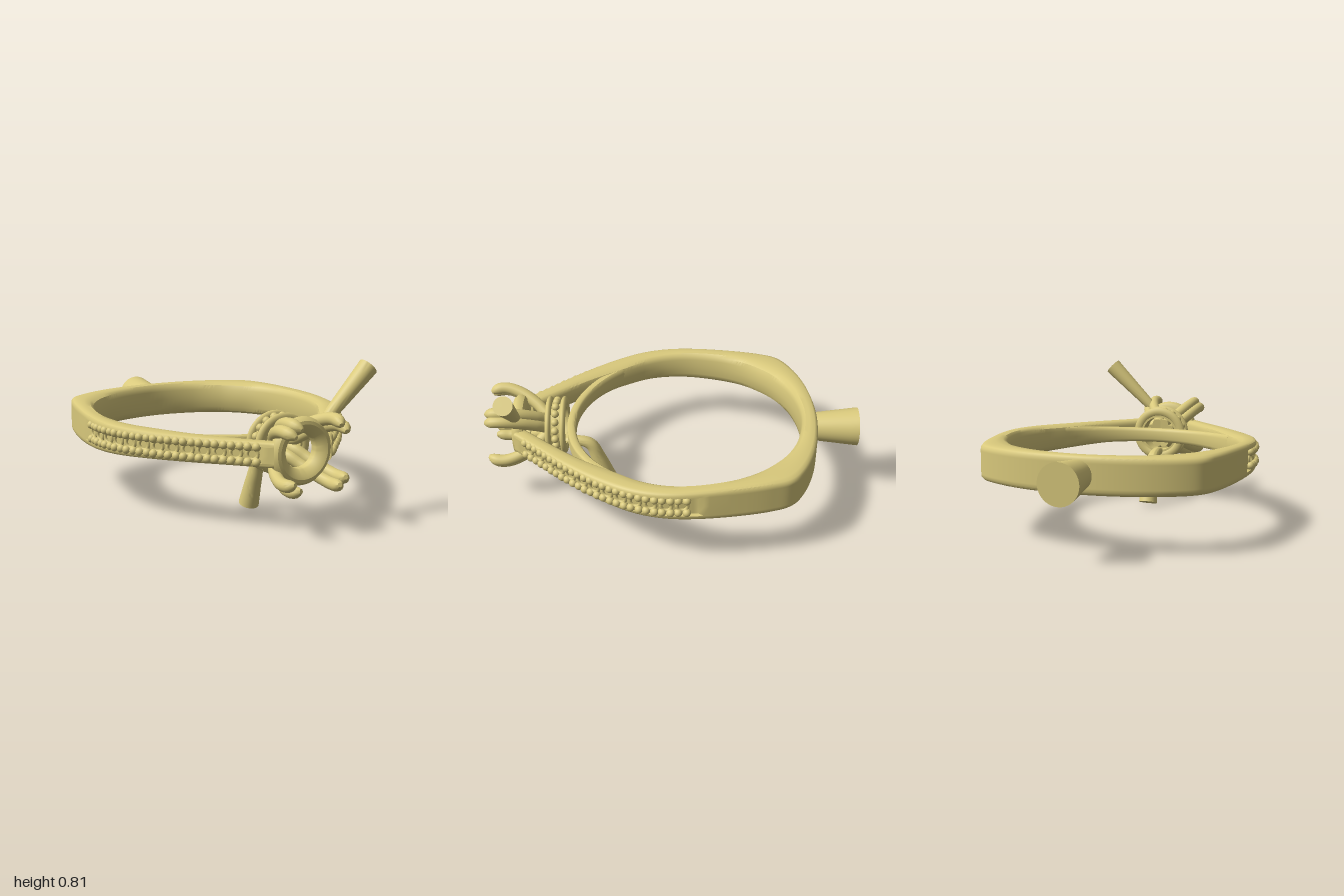
import * as THREE from 'three';
import { toCreasedNormals } from 'three/addons/utils/BufferGeometryUtils.js';

const V = (x, y, z) => new THREE.Vector3(x, y, z);
const CY = 0.39; // mid height of the band
const metal = new THREE.MeshStandardMaterial({ color: 0xd9c97c });

function add(parent, geometry, name) {
  const mesh = new THREE.Mesh(geometry, metal);
  mesh.name = name;
  parent.add(mesh);
  return mesh;
}

// Skin a row of cross-sections and close both ends
function loft(rings) {
  const n = rings[0].length;
  const hub = (ring) => {
    const c = V(0, 0, 0);
    ring.forEach((p) => c.addScaledVector(p, 1 / n));
    return ring.map(() => c);
  };
  const rows = [hub(rings[0]), ...rings, hub(rings[rings.length - 1])];
  const index = [];
  for (let i = 0; i < rows.length - 1; i++) {
    for (let j = 0; j < n; j++) {
      const a = i * n + j, b = i * n + (j + 1) % n;
      if (i > 0) index.push(a, b, a + n);
      if (i < rows.length - 2) index.push(b, b + n, a + n);
    }
  }
  const g = new THREE.BufferGeometry().setFromPoints(rows.flat());
  g.setIndex(index);
  return toCreasedNormals(g, 0.65);
}

// Round rod of varying radius along a curve
function rod(points, radius, steps = 20, sides = 20) {
  const curve = new THREE.CatmullRomCurve3(points);
  const { normals, binormals } = curve.computeFrenetFrames(steps);
  const rings = [];
  for (let i = 0; i <= steps; i++) {
    const c = curve.getPointAt(i / steps), r = radius(i / steps);
    rings.push(Array.from({ length: sides }, (_, j) => {
      const a = (j / sides) * Math.PI * 2;
      return c.clone().addScaledVector(normals[i], r * Math.cos(a)).addScaledVector(binormals[i], r * Math.sin(a));
    }));
  }
  return loft(rings);
}

// Rounded band section; the outer face is sunk by "sink" to form a channel
function bandSection(inner, outer, h, sink) {
  const mid = inner.clone().lerp(outer, 0.5);
  const out = outer.clone().sub(inner);
  const half = out.length() / 2;
  out.normalize();
  const d = sink / half;
  const quarter = [[1 - d, 0], [1 - d, 0.62], [1, 0.66], [0.98, 0.8], [0.86, 0.93], [0.6, 1], [0, 1],
    [-0.5, 0.98], [-0.82, 0.83], [-0.96, 0.55], [-1, 0]];
  const lower = quarter.slice(1, -1).reverse().map(([n, v]) => [n, -v]);
  return [...quarter, ...lower].map(([n, v]) => mid.clone().addScaledVector(out, n * half).add(V(0, v * h, 0)));
}

// Half outline of the band from the back to the head: outer x, z, inner x, z
const outline = [
  [0, -0.775, 0, -0.69], [0.3, -0.74, 0.22, -0.65], [0.5, -0.665, 0.36, -0.575], [0.585, -0.6, 0.45, -0.49],
  [0.625, -0.5, 0.52, -0.4], [0.665, -0.32, 0.575, -0.28], [0.695, -0.1, 0.61, -0.1], [0.695, 0.05, 0.6, 0.04],
  [0.66, 0.2, 0.56, 0.16], [0.57, 0.37, 0.475, 0.3], [0.435, 0.55, 0.365, 0.48], [0.3, 0.7, 0.235, 0.645],
  [0.165, 0.85, 0.12, 0.78],
];

function buildBand(group) {
  const half = (k) => outline.map((p) => V(p[k], CY, p[k + 1]));
  const full = (k) => new THREE.CatmullRomCurve3([
    ...half(k).slice(1).reverse().map((p) => V(-p.x, p.y, p.z)), ...half(k)]);
  const outer = full(0), inner = full(2);
  const rings = [], steps = 192;
  for (let i = 0; i <= steps; i++) {
    const o = outer.getPoint(i / steps), n = inner.getPoint(i / steps);
    const h = 0.095 - 0.034 * THREE.MathUtils.smoothstep(o.z, -0.6, 0.85);
    const sink = o.z > -0.13 && o.z < 0.81 ? 0.017 : 0;
    rings.push(bandSection(n, o, h, sink));
  }
  add(group, loft(rings), 'band');

  // Slim arch closing the finger circle behind the head
  const arch = [];
  for (let i = 0; i <= 48; i++) {
    const s = (i / 48) * 2 - 1, a = -s * 0.92;
    const at = (r) => V(Math.sin(a) * r, CY, -0.08 + Math.cos(a) * r);
    arch.push(bandSection(at(0.608), at(0.656), 0.04 + 0.02 * s * s, 0));
  }
  add(group, loft(arch), 'innerArch');

  // Bead-set stones along both shoulders
  const path = new THREE.CatmullRomCurve3(half(0).slice(6));
  const bead = new THREE.SphereGeometry(0.0215, 14, 10);
  const seat = new THREE.TorusGeometry(0.027, 0.009, 8, 20);
  const count = 13;
  for (const side of [1, -1]) {
    const setting = new THREE.Group();
    setting.name = side > 0 ? 'leftShoulderSetting' : 'rightShoulderSetting';
    group.add(setting);
    const place = (geometry, u, y, depth, name) => {
      const p = path.getPointAt(u), t = path.getTangentAt(u);
      const n = V(t.z, 0, -t.x).normalize();
      p.addScaledVector(n, -depth);
      const mesh = add(setting, geometry, name);
      mesh.position.set(p.x * side, CY + y, p.z);
      mesh.quaternion.setFromUnitVectors(V(0, 0, 1), V(n.x * side, 0, n.z));
    };
    for (let i = 0; i < count; i++) {
      const u = 0.01 + (i / count) * 0.93;
      for (const y of [-0.037, 0.037]) {
        place(bead, u + 0.017, y, 0.006, 'bead');
        place(bead, u + 0.055, y, 0.008, 'bead');
      }
      place(seat, u + 0.036, 0, 0.014, 'stoneSeat');
    }
  }
}

function buildHead(group) {
  const head = new THREE.Group();
  head.name = 'head';
  head.position.y = CY + 0.003;
  group.add(head);

  // Countersunk collar that carries the centre stone
  const profile = [[0.086, 0.795], [0.14, 0.795], [0.158, 0.805], [0.167, 0.825], [0.164, 0.845], [0.15, 0.861],
    [0.134, 0.865], [0.122, 0.86], [0.09, 0.835], [0.086, 0.825], [0.086, 0.795]];
  const collar = new THREE.LatheGeometry(profile.map(([r, z]) => new THREE.Vector2(r, z)), 64);
  add(head, toCreasedNormals(collar.rotateX(Math.PI / 2), 0.6), 'collar');

  // Four split prongs, each a pair of rounded wires
  const bend = [[0.05, 0.62], [0.058, 0.69], [0.11, 0.745], [0.165, 0.82], [0.197, 0.9], [0.197, 0.955], [0.178, 1.0]];
  const radius = (t) => 0.031 * Math.sqrt(Math.max(0.12, 1 - Math.max(0, (t - 0.88) / 0.12) ** 2));
  for (let i = 0; i < 4; i++) {
    const prong = new THREE.Group();
    prong.name = 'prong';
    prong.rotation.z = Math.PI / 4 + (i * Math.PI) / 2;
    head.add(prong);
    for (const s of [-1, 1]) {
      add(prong, rod(bend.map(([r, z]) => V(r, s * 0.023, z - 0.004)), radius, 28, 16), 'prongWire');
    }
  }

  // Gallery under the head: two hoops, a sleeve and beads between
  for (const z of [0.594, 0.672]) {
    const hoop = add(head, new THREE.TorusGeometry(0.132, 0.026, 12, 56), 'galleryHoop');
    hoop.scale.z = 0.62;
    hoop.position.z = z;
  }
  const sleeve = new THREE.LatheGeometry(
    [[0.1, 0.585], [0.128, 0.585], [0.128, 0.682], [0.1, 0.682], [0.1, 0.585]].map(([r, z]) => new THREE.Vector2(r, z)), 56);
  add(head, toCreasedNormals(sleeve.rotateX(Math.PI / 2), 0.6), 'gallerySleeve');
  const bead = new THREE.SphereGeometry(0.021, 12, 8);
  for (let i = 0; i < 18; i++) {
    const a = (i / 18) * Math.PI * 2;
    add(head, bead, 'galleryBead').position.set(Math.cos(a) * 0.135, Math.sin(a) * 0.135, 0.633);
  }
}

// Tapered casting rods
function buildSprues(group) {
  add(group, rod([V(0, CY, -0.71), V(0, CY, -1)], (t) => 0.07 + 0.034 * t, 6, 40), 'backSprue');
  add(group, rod([V(0.12, 0.52, 0.84), V(0.38, 0.77, 0.84)], (t) => 0.029 + 0.021 * t, 6, 28), 'sideSprue');
  add(group, rod([V(0, 0.285, 0.6), V(0, 0.29, 0.53), V(0, 0.265, 0.46), V(0, 0.17, 0.418), V(0, 0.018, 0.366)],
    (t) => 0.022 + 0.031 * t, 28, 28), 'lowerSprue');
}

export function createModel() {
  const group = new THREE.Group();
  group.name = 'ring';
  buildBand(group);
  buildHead(group);
  buildSprues(group);
  return group;
}
